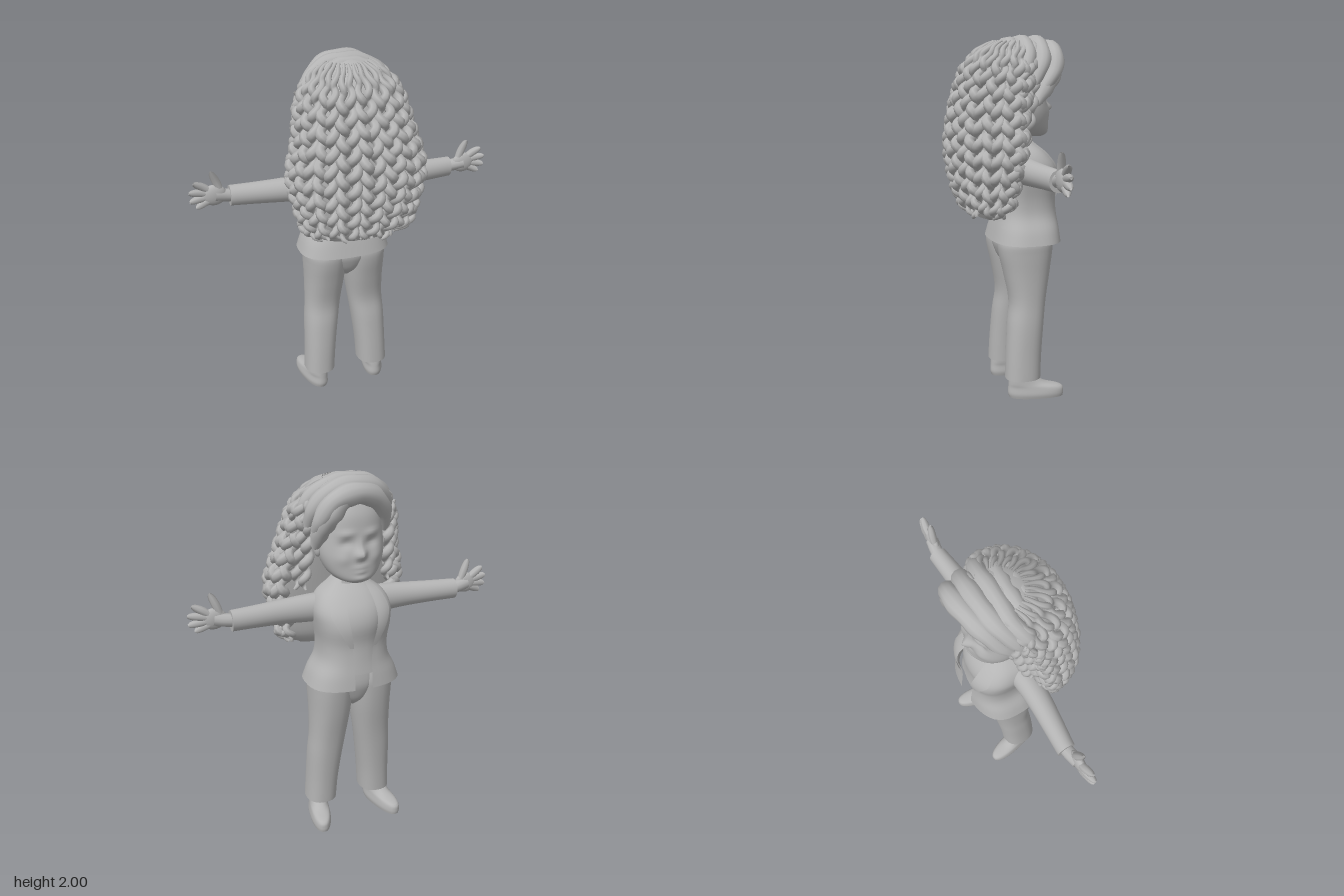
import * as THREE from 'three';

const clay = new THREE.MeshStandardMaterial({ color: 0xb4b4b4, side: THREE.DoubleSide });
clay.name = 'clay grey';

let seed = 7;
const rand = () => (seed = (seed * 16807) % 2147483647) / 2147483647;

// Smooth interpolation through a list of sections at fractional index u
function sectionAt(list, u) {
  const n = list.length - 1, i = Math.min(Math.floor(u), n - 1), t = u - i;
  const [a, b, c, d] = [i - 1, i, i + 1, i + 2].map(k => list[Math.max(0, Math.min(n, k))]);
  return b.map((_, k) => 0.5 * (2 * b[k] + (c[k] - a[k]) * t + (2 * a[k] - 5 * b[k] + 4 * c[k] - d[k]) * t * t
    + (3 * b[k] - a[k] - 3 * c[k] + d[k]) * t * t * t));
}

// Point of a section [y, centreX, halfWidth, zMiddle, zFront, zBack] at angle a (0 = +z, PI = -z)
function ringPoint([y, cx, rx, zm, zf, zb], a, n) {
  const pow = v => Math.sign(v) * Math.abs(v) ** (2 / n), c = pow(Math.cos(a));
  return [cx + rx * pow(Math.sin(a)), y, zm + (c > 0 ? (zb - zm) * c : (zm - zf) * c)];
}

// Skin over horizontal sections; range(y, section) gives the angles of an open shell
function loft(sections, { n = 2, segs = 32, sub = 4, range = null, caps = !range } = {}) {
  const pos = [], idx = [], rows = (sections.length - 1) * sub;
  const w = range ? segs + 1 : segs;
  for (let r = 0; r <= rows; r++) {
    const s = sectionAt(sections, r / sub), [a0, a1] = range ? range(s[0], s) : [0, Math.PI * 2];
    for (let i = 0; i < w; i++) pos.push(...ringPoint(s, a0 + (a1 - a0) * i / segs, n));
  }
  for (let r = 0; r < rows; r++) for (let i = 0; i < segs; i++) {
    const a = r * w + i, b = r * w + (i + 1) % w;
    idx.push(a, b, b + w, a, b + w, a + w);
  }
  if (caps) for (const r of [0, rows]) {
    const base = pos.length / 3, s = sectionAt(sections, r / sub);
    for (let i = 0; i < w; i++) pos.push(...pos.slice((r * w + i) * 3, (r * w + i) * 3 + 3));
    pos.push(s[1], s[0], s[3]);
    for (let i = 0; i < w; i++) {
      const a = base + i, b = base + (i + 1) % w;
      idx.push(...(r ? [a, b, base + w] : [b, a, base + w]));
    }
  }
  const g = new THREE.BufferGeometry();
  g.setAttribute('position', new THREE.Float32BufferAttribute(pos, 3));
  g.setIndex(idx);
  g.computeVertexNormals();
  return g;
}

// Tube along points whose radius follows radius(t)
function taperTube(points, radius, segs = 16, sides = 8) {
  const curve = new THREE.CatmullRomCurve3(points.map(p => new THREE.Vector3(...p)));
  const g = new THREE.TubeGeometry(curve, segs, 1, sides), p = g.attributes.position, v = new THREE.Vector3();
  for (let i = 0; i <= segs; i++) {
    const c = curve.getPointAt(i / segs), r = radius(i / segs);
    for (let j = 0; j <= sides; j++) {
      const k = i * (sides + 1) + j;
      v.fromBufferAttribute(p, k).sub(c).multiplyScalar(r).add(c);
      p.setXYZ(k, v.x, v.y, v.z);
    }
  }
  return g;
}
const rounded = (r, e = 0.35) => t => r * Math.max(0.02, Math.sin(Math.PI * t)) ** e;

// Reflection across x = 0 with the winding kept outward
function mirrored(geo) {
  const g = geo.clone().scale(-1, 1, 1), ix = g.index;
  for (let i = 0; i < ix.count; i += 3) {
    const a = ix.getX(i);
    ix.setX(i, ix.getX(i + 1));
    ix.setX(i + 1, a);
  }
  return g;
}

export function createModel() {
  const model = new THREE.Group();
  model.name = 'curlyHairedFigure';
  const add = (name, g) => {
    const m = new THREE.Mesh(g, clay);
    m.name = name;
    model.add(m);
  };
  const pair = (name, g) => { add(name, g); add(name, mirrored(g)); };

  // Trousers and shoes
  pair('trouserLeg', loft([
    [0.11, 0.167, 0.088, -0.08, -0.178, 0.02], [0.25, 0.159, 0.09, -0.085, -0.185, 0.014],
    [0.42, 0.146, 0.098, -0.1, -0.2, 0.002], [0.55, 0.132, 0.103, -0.11, -0.215, -0.012],
    [0.7, 0.12, 0.113, -0.11, -0.24, 0.015], [0.82, 0.116, 0.12, -0.11, -0.257, 0.042],
    [0.89, 0.112, 0.121, -0.11, -0.262, 0.045], [0.97, 0.1, 0.09, -0.12, -0.25, 0.015]], { n: 2.3 }));
  add('trouserSeat', loft([
    [0.72, 0, 0.015, -0.11, -0.17, -0.05], [0.765, 0, 0.06, -0.11, -0.222, 0.002],
    [0.82, 0, 0.11, -0.11, -0.246, 0.03], [0.88, 0, 0.15, -0.11, -0.258, 0.041],
    [0.97, 0, 0.15, -0.12, -0.25, 0.015]], { n: 2.6 }));
  const shoe = loft([
    [0, 0, 0.055, -0.13, -0.305, 0], [0.025, 0, 0.06, -0.13, -0.308, 0.008],
    [0.06, 0, 0.055, -0.12, -0.295, 0.006], [0.085, 0, 0.052, -0.08, -0.2, 0.004],
    [0.13, 0, 0.048, -0.06, -0.14, 0]], { n: 2.3 });
  pair('shoe', shoe.rotateY(-0.2).translate(0.167, 0, 0));

  // Open jacket with lapels over a fitted shirt
  const jacket = [
    [0.88, 0, 0.262, -0.12, -0.322, 0.065], [0.95, 0, 0.237, -0.12, -0.315, 0.048],
    [1.03, 0, 0.197, -0.12, -0.305, 0.028], [1.12, 0, 0.19, -0.12, -0.3, 0.02],
    [1.22, 0, 0.205, -0.12, -0.312, 0.02], [1.3, 0, 0.212, -0.11, -0.29, 0.02],
    [1.37, 0, 0.18, -0.1, -0.235, 0.02], [1.42, 0, 0.115, -0.09, -0.175, 0.008],
    [1.45, 0, 0.08, -0.08, -0.15, -0.005]];
  const edge = (y, s) => {
    const half = 0.05 + 0.035 * Math.exp(-(((y - 1.3) / 0.15) ** 2));
    return Math.PI - Math.asin(Math.min(0.95, (half / s[2]) ** 1.35));
  };
  add('jacket', loft(jacket, { n: 2.7, segs: 40, range: (y, s) => [-edge(y, s), edge(y, s)] }));
  const lapel = jacket.slice(3).map(([y, cx, rx, zm, zf, zb]) => [y, cx, rx + 0.008, zm, zf - 0.008, zb + 0.008]);
  pair('lapel', loft(lapel, {
    n: 2.7, segs: 6,
    range: (y, s) => [edge(y, s) - 0.04 - 0.42 * Math.min(1, Math.max(0, (y - 1.1) / 0.2)), edge(y, s) + 0.02],
  }));
  add('shirt', loft(jacket.slice(1, 8).map(([y, cx, rx, zm, zf, zb]) =>
    [y, cx, rx - 0.025, zm, zf + 0.03, zb - 0.02]), { n: 2.2 }));
  add('neck', loft([[1.36, 0, 0.075, -0.08, -0.15, -0.01], [1.43, 0, 0.06, -0.08, -0.14, -0.02],
    [1.52, 0, 0.06, -0.09, -0.15, -0.03]]));

  // Sleeves, lofted upright and laid sideways
  const sleeve = loft([
    [0.1, 0, 0.075, -0.07, -0.145, 0.012], [0.2, 0, 0.076, -0.07, -0.135, 0.01],
    [0.35, 0, 0.067, -0.07, -0.13, -0.003], [0.5, 0, 0.06, -0.08, -0.135, -0.022],
    [0.645, 0, 0.056, -0.092, -0.142, -0.043]], { segs: 24 });
  pair('sleeve', sleeve.rotateZ(-Math.PI / 2).translate(0, 1.288, 0));

  // Hands with four spread fingers and a raised thumb
  pair('wrist', taperTube([[0.62, 1.288, -0.092], [0.67, 1.295, -0.088], [0.73, 1.305, -0.078]], () => 0.035, 8, 12));
  pair('palm', new THREE.SphereGeometry(1, 20, 14).scale(0.068, 0.057, 0.027).translate(0.73, 1.307, -0.077));
  const fingers = [[0.742, 1.44, 0.69, 1.315], [0.836, 1.385, 0.74, 1.325], [0.862, 1.335, 0.74, 1.313],
    [0.86, 1.285, 0.74, 1.3], [0.828, 1.248, 0.725, 1.29]];
  for (const [x, y, x0, y0] of fingers) pair('finger', taperTube(
    [[x0, y0, -0.08], [(x + x0) / 2, (y + y0) / 2 + 0.004, -0.077], [x, y, -0.068]], rounded(0.022, 0.3), 12, 8));

  // Head with sculpted eye hollows, brows, nose, lips and chin
  const head = loft([
    [1.455, 0, 0.05, -0.19, -0.24, -0.11], [1.475, 0, 0.1, -0.17, -0.262, -0.06],
    [1.52, 0, 0.145, -0.14, -0.264, -0.03], [1.6, 0, 0.174, -0.12, -0.256, 0.02],
    [1.7, 0, 0.17, -0.11, -0.246, 0.05], [1.8, 0, 0.155, -0.1, -0.235, 0.05],
    [1.88, 0, 0.1, -0.1, -0.2, 0.03]], { n: 2.2, segs: 80, sub: 8 });
  const bumps = [[0, 1.61, 0.042, 0.026, 0.026], [0, 1.65, 0.012, 0.016, 0.035], [0, 1.545, 0.008, 0.035, 0.012],
    [0, 1.52, 0.008, 0.028, 0.011], [0, 1.485, 0.008, 0.035, 0.017]];
  for (const s of [-1, 1]) bumps.push([s * 0.068, 1.665, -0.016, 0.036, 0.022],
    [s * 0.068, 1.715, 0.01, 0.04, 0.016], [s * 0.09, 1.59, 0.01, 0.04, 0.035]);
  const hp = head.attributes.position;
  for (let i = 0; i < hp.count; i++) if (hp.getZ(i) < -0.13) {
    let z = hp.getZ(i);
    for (const [x, y, h, sx, sy] of bumps)
      z -= h * Math.exp(-(((hp.getX(i) - x) / sx) ** 2) - ((hp.getY(i) - y) / sy) ** 2);
    hp.setZ(i, z);
  }
  head.computeVertexNormals();
  add('head', head);
  pair('ear', new THREE.SphereGeometry(1, 14, 10).scale(0.02, 0.042, 0.03).translate(0.177, 1.62, -0.11));

  // Hair mass hanging behind the shoulders
  const hair = [
    [1.03, 0.025, 0.21, 0.09, 0.04, 0.18], [1.1, 0.025, 0.3, 0.07, 0.0, 0.215],
    [1.22, 0.025, 0.33, 0.05, -0.02, 0.255], [1.4, 0.028, 0.362, 0.03, -0.05, 0.28],
    [1.58, 0.02, 0.315, 0.02, -0.09, 0.26], [1.72, 0.01, 0.285, 0.0, -0.13, 0.225],
    [1.83, 0.01, 0.252, -0.03, -0.17, 0.19], [1.91, 0.01, 0.195, -0.06, -0.2, 0.13],
    [1.965, 0.01, 0.12, -0.09, -0.2, 0.045], [1.985, 0.01, 0.03, -0.1, -0.14, -0.06]];
  add('hairMass', loft(hair.map(([y, cx, rx, zm, zf, zb]) =>
    [y, cx, Math.max(0.02, rx - 0.02), zm, zf + 0.015, zb - 0.02]), { segs: 40 }));

  // Corkscrew curls hanging in zigzag columns, each with its own pitch
  const strands = 24;
  for (let k = 0; k < strands; k++) {
    const a = (k / (strands - 1) * 2 - 1) * 2.1, hand = k % 2 ? 1 : -1;
    const low = 0.02 + rand() * 0.6 + Math.max(0, Math.abs(a) - 1.3) * 0.6;
    const phase = rand() * 6.3, pitch = 0.078 + rand() * 0.016;
    const pts = [], steps = 90, top = 8;
    for (let i = 0; i <= steps; i++) {
      const u = top + (low - top) * i / steps, s = sectionAt(hair, u);
      const amp = Math.min(1, 0.1 + i / 36), w = s[0] * Math.PI * 2 / pitch + phase;
      const [x, y, z] = ringPoint(s, a, 2);
      const side = hand * Math.cos(w) * amp * 0.014, out = Math.sin(w) * amp * 0.019;
      pts.push([x + side * Math.cos(a) + out * Math.sin(a), y, z - side * Math.sin(a) + out * Math.cos(a)]);
    }
    add('curl', taperTube(pts, t => Math.min(1, 0.65 + t * 2) * rounded(0.028, 0.25)(t), 120, 7));
  }

  // Swept fringe and smooth locks over the crown
  const locks = [
    [0.056, [0.21, 1.7, -0.16], [0.2, 1.8, -0.23], [0.14, 1.89, -0.255], [0.03, 1.92, -0.25], [-0.08, 1.89, -0.22],
      [-0.16, 1.8, -0.17], [-0.2, 1.68, -0.1]],
    [0.052, [0.0, 1.93, -0.22], [0.08, 1.91, -0.255], [0.15, 1.83, -0.25], [0.19, 1.74, -0.2], [0.2, 1.63, -0.13]],
    [0.055, [0.23, 1.72, -0.1], [0.21, 1.84, -0.16], [0.13, 1.92, -0.18], [0.01, 1.945, -0.18], [-0.11, 1.915, -0.16],
      [-0.19, 1.83, -0.11], [-0.22, 1.7, -0.06]],
    [0.05, [0.25, 1.74, -0.03], [0.22, 1.86, -0.08], [0.13, 1.93, -0.1], [0, 1.95, -0.1], [-0.12, 1.925, -0.1],
      [-0.21, 1.85, -0.06], [-0.24, 1.72, -0.02]],
    [0.05, [0.21, 1.87, 0.0], [0.1, 1.925, -0.03], [0, 1.94, -0.04], [-0.1, 1.92, -0.03], [-0.19, 1.86, 0.0]],
    [0.05, [0.17, 1.87, 0.05], [0.08, 1.905, 0.025], [0, 1.915, 0.02], [-0.08, 1.9, 0.025], [-0.16, 1.86, 0.05]],
  ];
  for (const [r, ...pts] of locks)
    add('fringeLock', taperTube(pts, t => rounded(r, 0.4)(t) * (1 + 0.06 * Math.sin(t * 34)), 48, 12));

  // Short ringlets framing the face
  for (const s of [-1, 1]) for (let k = 0; k < 3; k++) {
    const pts = [];
    for (let i = 0; i <= 30; i++) {
      const w = i * 0.95 + k * 2;
      pts.push([s * (0.21 + k * 0.03 + i * 0.001) + Math.cos(w) * 0.014, 1.82 - i * 0.0145,
        -0.13 + k * 0.04 + i * 0.0025 + Math.sin(w) * 0.014]);
    }
    add('faceRinglet', taperTube(pts, rounded(0.027), 50, 8));
  }
  return model;
}
